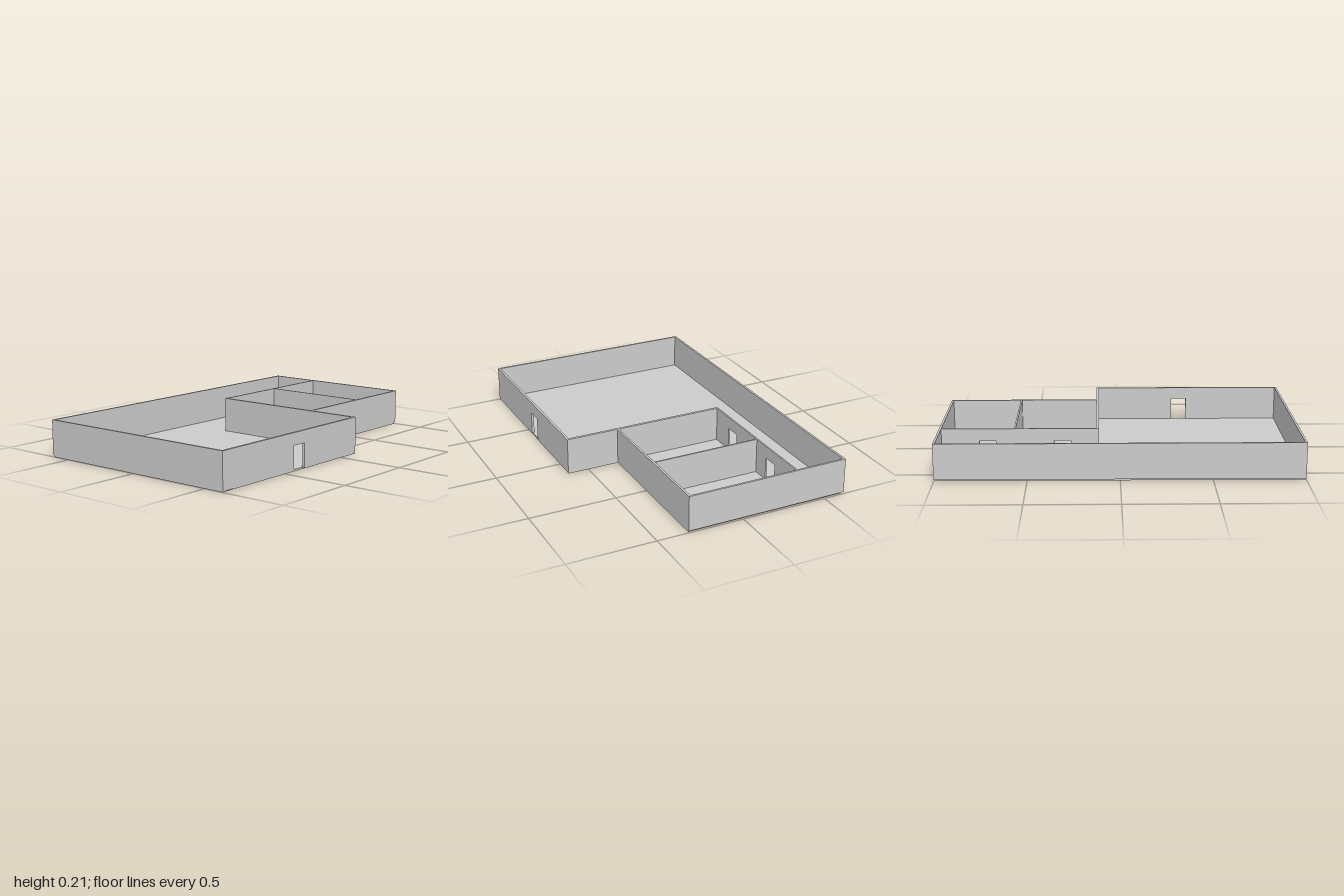
import * as THREE from 'three';

const TOP = 0.21, FLOOR = 0.01, DOOR_TOP = 0.14;
const grey = new THREE.MeshStandardMaterial({ color: 0xcccccc, flatShading: true });

// Straight wall covering a plan rectangle
function wall(name, x0, x1, z0, z1, y0 = 0) {
  const mesh = new THREE.Mesh(new THREE.BoxGeometry(x1 - x0, TOP - y0, z1 - z0), grey);
  mesh.position.set((x0 + x1) / 2, (TOP + y0) / 2, (z0 + z1) / 2);
  mesh.name = name;
  return mesh;
}

// Wall along x with doorways cut up from its foot; doors are [xStart, xEnd]
function doorWall(name, x0, x1, z0, z1, y0, doors) {
  const shape = new THREE.Shape();
  shape.moveTo(x0, y0);
  for (const [a, b] of doors) {
    shape.lineTo(a, y0);
    shape.lineTo(a, DOOR_TOP);
    shape.lineTo(b, DOOR_TOP);
    shape.lineTo(b, y0);
  }
  shape.lineTo(x1, y0);
  shape.lineTo(x1, TOP);
  shape.lineTo(x0, TOP);
  const geometry = new THREE.ExtrudeGeometry(shape, { depth: z1 - z0, bevelEnabled: false });
  const mesh = new THREE.Mesh(geometry, grey);
  mesh.position.z = z0;
  mesh.name = name;
  return mesh;
}

export function createModel() {
  const house = new THREE.Group();
  house.name = 'floorPlan';

  // L-shaped floor slab, just inside the back and side walls
  const plan = [[-0.998, 0.61], [0.99, 0.61], [0.99, -0.318], [0.128, -0.318], [0.128, -0.618], [-0.998, -0.618]];
  const outline = new THREE.Shape(plan.map(([x, y]) => new THREE.Vector2(x, y)));
  const slab = new THREE.ExtrudeGeometry(outline, { depth: FLOOR, bevelEnabled: false });
  slab.rotateX(-Math.PI / 2);
  const floor = new THREE.Mesh(slab, grey);
  floor.name = 'floor';
  house.add(floor);

  // Outer walls
  house.add(
    wall('backWall', -1, 1, -0.622, -0.61, FLOOR),
    wall('rightOuterWall', -1, -0.988, -0.61, 0.622, 0.002),
    wall('leftOuterWall', 0.988, 1, -0.61, 0.32, FLOOR),
    doorWall('frontWall', -0.988, 0.114, 0.608, 0.622, 0.004, [[-0.43, -0.34]]),
    wall('hallSideWall', 0.114, 0.13, -0.326, 0.622, 0.002),
    wall('roomFrontWall', 0.13, 0.988, 0.308, 0.32, 0.002),
  );

  // Thin inner walls dividing the two small rooms from the corridor
  house.add(
    doorWall('corridorWall', 0.13, 0.988, -0.326, -0.317, FLOOR, [[0.27, 0.363], [0.685, 0.777]]),
    wall('roomPartition', 0.576, 0.585, -0.317, 0.308, FLOOR),
  );

  return house;
}
